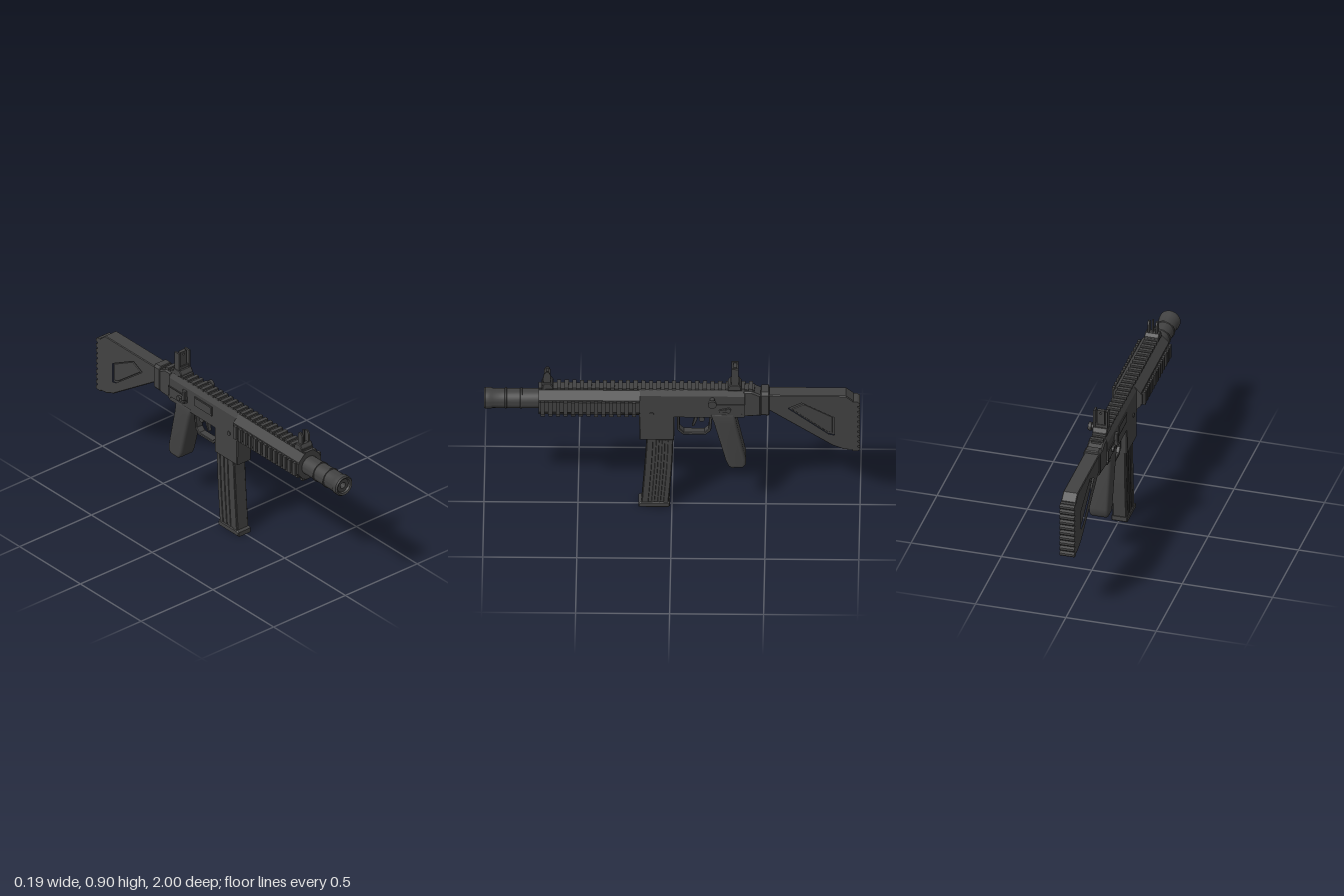
import * as THREE from 'three';
import { toCreasedNormals } from 'three/addons/utils/BufferGeometryUtils.js';

const darkMetal = new THREE.MeshStandardMaterial({ color: 0x424242 });
darkMetal.name = 'darkMetal';
const AXIS_Y = 0.68;

export function createModel() {
  const model = new THREE.Group();
  const body = new THREE.Group();
  body.name = 'body';
  body.position.x = -0.005;
  model.add(body);

  const add = (name, geometry, parent = body) => {
    const mesh = new THREE.Mesh(geometry, darkMetal);
    mesh.name = name;
    parent.add(mesh);
    return mesh;
  };
  const group = (name) => {
    const g = new THREE.Group();
    g.name = name;
    body.add(g);
    return g;
  };
  // Box given by its limits on each axis
  const box = (name, x0, x1, y0, y1, z0, z1, parent) => {
    const g = new THREE.BoxGeometry(x1 - x0, y1 - y0, z1 - z0);
    g.translate((x0 + x1) / 2, (y0 + y1) / 2, (z0 + z1) / 2);
    return add(name, g, parent);
  };
  const extrude = (shape, depth, bevel, segments = 1) => new THREE.ExtrudeGeometry(shape, {
    depth: depth - 2 * bevel, bevelEnabled: bevel > 0, bevelSize: bevel,
    bevelThickness: bevel, bevelOffset: -bevel, bevelSegments: segments, curveSegments: 12,
  }).translate(0, 0, bevel);
  const toVectors = (points) => points.map(([z, y]) => new THREE.Vector2(-z, y));
  // Side outline of [z, y] points, extruded across x
  const side = (name, points, x0, x1, { bevel = 0, segments = 1, holes = [], parent } = {}) => {
    const shape = new THREE.Shape(toVectors(points));
    holes.forEach((h) => shape.holes.push(new THREE.Path(toVectors(h))));
    const g = extrude(shape, x1 - x0, bevel, segments).rotateY(Math.PI / 2).translate(x0, 0, 0);
    return add(name, segments > 1 ? toCreasedNormals(g, 0.7) : g, parent);
  };
  // Symmetric cross-section of right-half [x, y] points, extruded along z
  const section = (name, half, z0, z1, bevel = 0) => {
    const all = [...half, ...half.map(([x, y]) => [-x, y]).reverse()];
    const shape = new THREE.Shape(all.map(([x, y]) => new THREE.Vector2(x, y)));
    return add(name, extrude(shape, z1 - z0, bevel).translate(0, 0, z0));
  };
  // Round pin lying along x
  const pin = (name, radius, x0, x1, y, z, parent) => {
    const g = new THREE.CylinderGeometry(radius, radius, Math.abs(x1 - x0), 20);
    g.rotateZ(Math.PI / 2).translate((x0 + x1) / 2, y, z);
    return add(name, g, parent);
  };

  // Turned muzzle tube with rings and a recessed front
  const profile = [
    [0, 0.93], [0.018, 0.93], [0.018, 0.985], [0.038, 0.985], [0.042, 0.995], [0.052, 1],
    [0.058, 0.992], [0.058, 0.965], [0.053, 0.955], [0.053, 0.89], [0.057, 0.888],
    [0.057, 0.88], [0.053, 0.878], [0.053, 0.808], [0.057, 0.806], [0.057, 0.798],
    [0.053, 0.796], [0.053, 0.69],
  ].map(([r, z]) => new THREE.Vector2(r, z)).reverse();
  const tube = new THREE.LatheGeometry(profile, 40).rotateX(Math.PI / 2);
  add('muzzleTube', toCreasedNormals(tube, 0.6).translate(0, AXIS_Y, 0));

  // Eight-sided handguard
  section('handguard', [[0.034, 0.76], [0.074, 0.72], [0.074, 0.642], [0.04, 0.605]], 0.17, 0.71);

  // Side and lower rails with teeth
  const rails = group('handguardRails');
  for (const s of [-1, 1]) {
    const span = (a, b) => (s > 0 ? [a, b] : [-b, -a]);
    box('sideRail', ...span(0.07, 0.08), 0.65, 0.71, 0.175, 0.71, rails);
    for (let i = 0; i < 13; i++) {
      const z = 0.19 + i * 0.0405;
      box('sideTooth', ...span(0.078, 0.092), 0.64, 0.718, z, z + 0.022, rails);
    }
  }
  box('lowerRail', -0.032, 0.032, 0.598, 0.61, 0.175, 0.71, rails);
  for (let i = 0; i < 13; i++) {
    const z = 0.19 + i * 0.0405;
    box('lowerTooth', -0.038, 0.038, 0.588, 0.6, z, z + 0.022, rails);
  }

  // Top rail running the whole length
  const topRail = group('topRail');
  box('railBase', -0.028, 0.028, 0.75, 0.766, -0.44, 0.71, topRail);
  for (let i = 0; i < 28; i++) {
    const z = -0.43 + i * 0.0408;
    box('railTooth', -0.037, 0.037, 0.762, 0.776, z, z + 0.022, topRail);
  }

  // Receiver with chamfered top, and the collar behind it
  section('receiver', [[0.032, 0.766], [0.05, 0.735], [0.05, 0.598]], -0.385, 0.175);
  side('receiverRear', [[-0.38, 0.598], [-0.38, 0.762], [-0.425, 0.762], [-0.475, 0.738],
    [-0.475, 0.605]], -0.045, 0.045, { bevel: 0.008 });
  section('stockCollar', [[0.034, 0.755], [0.046, 0.74], [0.046, 0.62], [0.036, 0.605]], -0.518, -0.472, 0.004);

  // Magazine well and curved magazine with raised ribs
  side('magazineWell', [[0.175, 0.62], [0.172, 0.445], [-0.012, 0.445], [-0.015, 0.62]],
    -0.05, 0.05, { bevel: 0.005 });
  const levels = [0.46, 0.36, 0.25, 0.14, 0.02];
  const frontZ = [0.134, 0.139, 0.146, 0.154, 0.163];
  const backZ = [-0.008, -0.005, 0, 0.008, 0.018];
  const strip = (a, b, from, to) => {
    const at = (t) => levels.map((y, i) => [THREE.MathUtils.lerp(frontZ[i], backZ[i], t), y]).slice(from, to);
    return [...at(a), ...at(b).reverse()];
  };
  const magazine = group('magazine');
  side('magazineBody', strip(0, 1, 0, 5), -0.037, 0.037, { bevel: 0.004, parent: magazine });
  for (const [a, b] of [[0.02, 0.25], [0.36, 0.48], [0.58, 0.7], [0.8, 0.98]]) {
    side('magazineRib', strip(a, b, 0, 5), -0.041, 0.041, { bevel: 0.002, parent: magazine });
  }
  side('magazineBase', [[0.178, 0], [0.178, 0.026], [0.165, 0.032], [0.012, 0.032], [0.01, 0.008], [0.02, 0]],
    -0.045, 0.045, { bevel: 0.005, parent: magazine });

  // Pistol grip with rounded edges
  side('grip', [[-0.2, 0.62], [-0.335, 0.62], [-0.345, 0.55], [-0.394, 0.32], [-0.394, 0.285],
    [-0.378, 0.264], [-0.318, 0.262], [-0.3, 0.275], [-0.286, 0.31], [-0.222, 0.56]],
  -0.053, 0.053, { bevel: 0.016, segments: 3 });

  // Trigger guard loop, trigger and release button
  side('triggerGuard', [[-0.026, 0.61], [-0.026, 0.495], [-0.058, 0.463], [-0.178, 0.463], [-0.208, 0.49], [-0.218, 0.61]],
    -0.022, 0.022, { bevel: 0.003, holes: [[[-0.041, 0.6], [-0.041, 0.502], [-0.064, 0.479], [-0.172, 0.479], [-0.194, 0.5], [-0.2, 0.6]]] });
  side('trigger', [[-0.112, 0.61], [-0.118, 0.56], [-0.106, 0.512], [-0.116, 0.51], [-0.135, 0.555], [-0.136, 0.61]],
    -0.011, 0.011, { bevel: 0.002 });
  pin('releaseButton', 0.015, -0.02, 0.02, 0.563, -0.158);
  box('releaseArm', -0.008, 0.008, 0.56, 0.605, -0.168, -0.15);

  // Cocking knob on the left side
  const knob = group('cockingKnob');
  pin('knobStem', 0.013, 0.04, 0.088, 0.716, -0.215, knob);
  pin('knobHead', 0.023, 0.086, 0.103, 0.716, -0.215, knob);

  // Raised side details, selector and pins
  const details = group('receiverDetails');
  const plate = [[-0.235, 0.685], [-0.39, 0.685], [-0.39, 0.625], [-0.27, 0.625], [-0.235, 0.645]];
  const inset = [[-0.242, 0.679], [-0.384, 0.679], [-0.384, 0.631], [-0.272, 0.631], [-0.242, 0.648]];
  side('leftPlateFrame', plate, 0.049, 0.055, { holes: [inset], parent: details });
  side('rightPlateFrame', plate, -0.055, -0.049, { holes: [inset], parent: details });
  for (const s of [-1, 1]) {
    pin('selectorHub', 0.014, s * 0.04, s * 0.062, 0.648, -0.3, details);
    side('selectorLever', [[-0.25, 0.638], [-0.25, 0.648], [-0.295, 0.66], [-0.31, 0.65], [-0.3, 0.638]],
      s > 0 ? 0.05 : -0.06, s > 0 ? 0.06 : -0.05, { parent: details });
    pin('frontPin', 0.012, s * 0.04, s * 0.055, 0.617, 0.108, details);
    pin('rearPin', 0.01, s * 0.04, s * 0.054, 0.618, -0.38, details);
  }
  side('portFrame', [[-0.03, 0.715], [-0.175, 0.715], [-0.175, 0.66], [-0.03, 0.66]], -0.055, -0.049,
    { holes: [[[-0.038, 0.707], [-0.167, 0.707], [-0.167, 0.668], [-0.038, 0.668]]], parent: details });
  side('boltLever', [[-0.235, 0.72], [-0.262, 0.72], [-0.262, 0.65], [-0.235, 0.665]], -0.07, -0.049,
    { bevel: 0.004, parent: details });

  // Stock with a recessed panel on each side
  const outline = [[-0.51, 0.738], [-0.925, 0.738], [-0.965, 0.705], [-0.965, 0.382], [-0.915, 0.388],
    [-0.855, 0.412], [-0.51, 0.645]];
  const panel = [[-0.612, 0.655], [-0.69, 0.695], [-0.868, 0.598], [-0.868, 0.476], [-0.83, 0.486]];
  const stock = group('stock');
  side('stockBody', outline, -0.041, 0.041, { bevel: 0.004, holes: [panel], parent: stock });
  side('stockPanel', panel, -0.031, 0.031, { parent: stock });
  side('panelInsert', panel.map(([z, y]) => [-0.78 + (z + 0.78) * 0.85, 0.59 + (y - 0.59) * 0.85]),
    -0.036, 0.036, { bevel: 0.003, parent: stock });

  // Ribbed butt pad
  const pad = group('buttPad');
  box('padBase', -0.041, 0.041, 0.378, 0.7, -0.986, -0.96, pad);
  for (let i = 0; i < 10; i++) {
    const y = 0.378 + i * 0.0324;
    side('padRib', [[-0.982, y], [-0.996, y + 0.003], [-1, y + 0.008], [-1, y + 0.02], [-0.982, y + 0.029]],
      -0.041, 0.041, { parent: pad });
  }

  // Front sight: clamp, two ears and a post
  const frontSight = group('frontSight');
  side('frontClamp', [[0.69, 0.765], [0.69, 0.785], [0.68, 0.802], [0.645, 0.802], [0.632, 0.785], [0.632, 0.765]],
    -0.04, 0.04, { bevel: 0.004, parent: frontSight });
  for (const s of [-1, 1]) {
    side('frontEar', [[0.682, 0.8], [0.682, 0.85], [0.67, 0.868], [0.655, 0.868], [0.646, 0.85], [0.646, 0.8]],
      s * 0.022 - 0.005, s * 0.022 + 0.005, { parent: frontSight });
  }
  box('frontPost', -0.004, 0.004, 0.8, 0.878, 0.656, 0.668, frontSight);

  // Rear sight: clamp, two tall ears and a plate with a peephole
  const rearSight = group('rearSight');
  side('rearClamp', [[-0.298, 0.765], [-0.298, 0.785], [-0.31, 0.804], [-0.358, 0.804], [-0.37, 0.785], [-0.37, 0.765]],
    -0.041, 0.041, { bevel: 0.004, parent: rearSight });
  for (const s of [-1, 1]) {
    box('rearEar', s * 0.034 - 0.005, s * 0.034 + 0.005, 0.8, 0.905, -0.354, -0.316, rearSight);
  }
  const plateShape = new THREE.Shape([[-0.02, 0.8], [0.02, 0.8], [0.02, 0.905], [-0.02, 0.905]]
    .map(([x, y]) => new THREE.Vector2(x, y)));
  plateShape.holes.push(new THREE.Path().absarc(0, 0.888, 0.006, 0, Math.PI * 2, true));
  add('peepPlate', extrude(plateShape, 0.02, 0).translate(0, 0, -0.346), rearSight);
  box('rearBridge', -0.034, 0.034, 0.8, 0.82, -0.35, -0.32, rearSight);
  return model;
}
